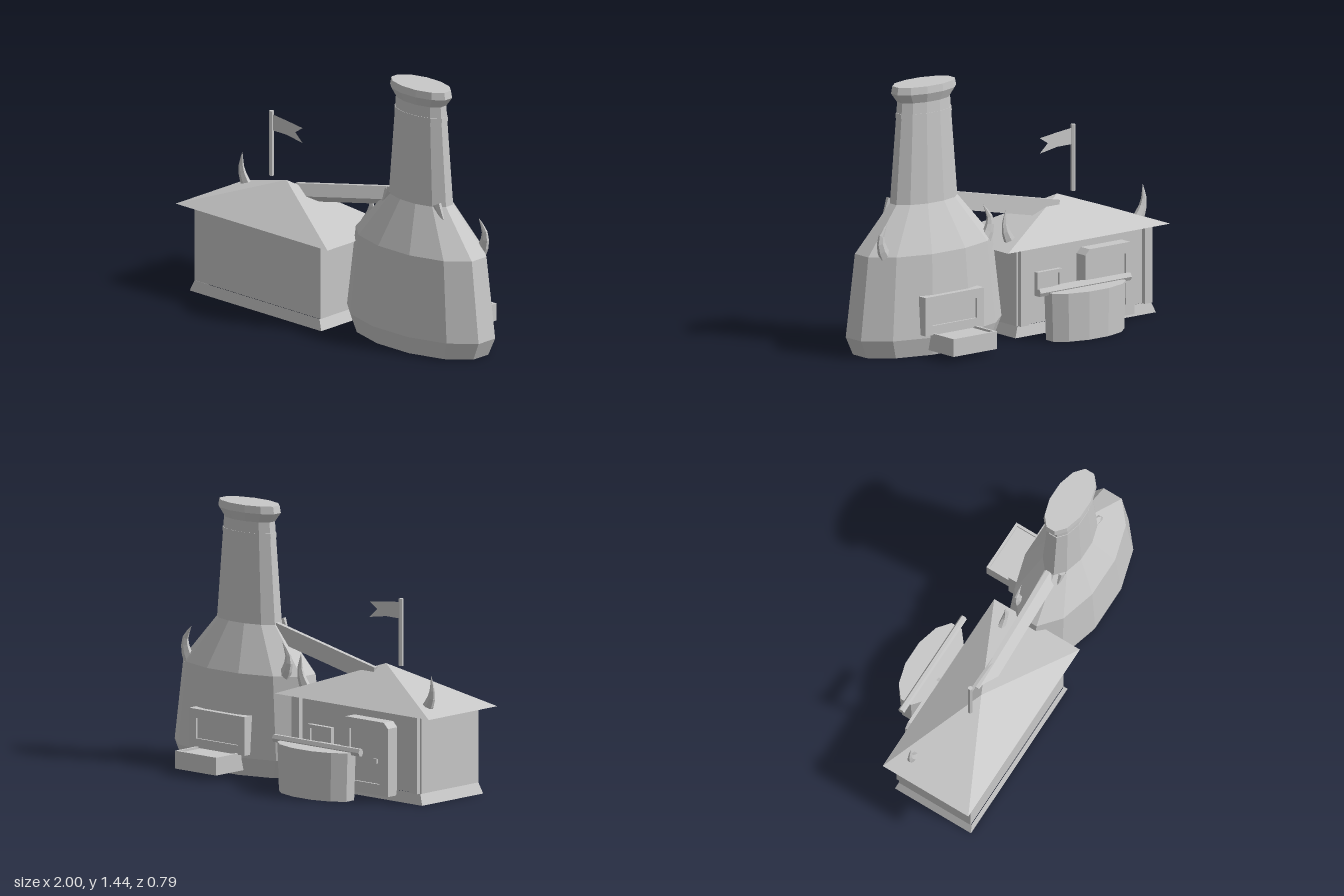
import * as THREE from 'three';

const grey = new THREE.MeshStandardMaterial({ color: 0xc8c8c8, flatShading: true, side: THREE.DoubleSide });
grey.name = 'plain grey';

export function createModel() {
  const model = new THREE.Group();
  const add = (name, geo, x = 0, y = 0, z = 0) => {
    const m = new THREE.Mesh(geo, grey);
    m.name = name;
    m.position.set(x, y, z);
    model.add(m);
    return m;
  };
  const outline = points => points.map(p => new THREE.Vector2(...p));
  // Box given by its limits on each axis
  const box = (name, x0, x1, y0, y1, z0, z1) =>
    add(name, new THREE.BoxGeometry(x1 - x0, y1 - y0, z1 - z0), (x0 + x1) / 2, (y0 + y1) / 2, (z0 + z1) / 2);
  // Twelve-sided oval body; profile holds [half width, y]
  const oval = (name, profile, flat, x, z) => {
    const pts = profile.map(([r, y]) => new THREE.Vector2(r / Math.cos(Math.PI / 12), y));
    const geo = new THREE.LatheGeometry(pts, 12, Math.PI / 12);
    geo.scale(1, 1, flat);
    return add(name, geo, x, 0, z);
  };
  // Rectangular ring standing on a back wall, with chamfered top corners
  const frame = (name, x0, x1, y0, y1, z0, z1, rim, c) => {
    const s = new THREE.Shape(outline(
      [[x0, y0], [x1, y0], [x1, y1 - c], [x1 - c, y1], [x0 + c, y1], [x0, y1 - c]]));
    s.holes.push(new THREE.Path(outline(
      [[x0 + rim, y0 + rim], [x0 + rim, y1 - rim], [x1 - rim, y1 - rim], [x1 - rim, y0 + rim]])));
    add(name, new THREE.ExtrudeGeometry(s, { depth: z1 - z0, bevelEnabled: false }), 0, 0, z0);
  };
  // Curved horn: a tube narrowed toward its tip
  const horn = (name, path, z, r) => {
    const curve = new THREE.CatmullRomCurve3(path.map(([x, y]) => new THREE.Vector3(x, y, 0)));
    const n = 5, sides = 6;
    const geo = new THREE.TubeGeometry(curve, n, r, sides, false);
    const pos = geo.attributes.position, v = new THREE.Vector3();
    for (let i = 0; i < pos.count; i++) {
      const t = Math.floor(i / (sides + 1)) / n, c = curve.getPointAt(t);
      v.fromBufferAttribute(pos, i).sub(c).multiplyScalar(1 - 0.98 * t ** 1.3);
      v.z *= 0.6;
      v.add(c);
      pos.setXYZ(i, v.x, v.y, v.z);
    }
    add(name, geo, 0, 0, z);
  };
  const hornPair = (name, path, centre, z, r) => {
    horn(name + 'A', path, z, r);
    horn(name + 'B', path.map(([x, y]) => [2 * centre - x, y]), z, r);
  };

  // Tower, open underneath
  oval('tower', [[0.44, 0], [0.485, 0.1], [0.428, 0.55], [0.21, 0.8], [0.165, 1.35],
    [0.203, 1.4], [0.195, 1.44], [0, 1.44]], 0.495, 0.515, 0.08);
  oval('neckBand', [[0.168, 1.265], [0.176, 1.265], [0.174, 1.29], [0.166, 1.29]], 0.495, 0.515, 0.08);
  hornPair('towerHorn', [[0.86, 0.55], [0.885, 0.6], [0.89, 0.66], [0.845, 0.735]], 0.515, -0.02, 0.038);
  hornPair('shoulderSpike', [[0.69, 0.815], [0.705, 0.785], [0.725, 0.75], [0.755, 0.705]], 0.515, 0.142, 0.03);

  // Hatch and tray at the back of the tower
  frame('hatchFrame', 0.31, 0.715, 0.12, 0.33, -0.18, -0.12, 0.05, 0);
  box('hatchPanel', 0.35, 0.675, 0.13, 0.29, -0.168, -0.11);
  box('trayFloor', 0.36, 0.66, 0.03, 0.115, -0.35, -0.13);
  box('trayBackRim', 0.36, 0.66, 0.115, 0.127, -0.35, -0.335);
  for (const x of [0.36, 0.645]) box('traySideRim', x, x + 0.015, 0.115, 0.127, -0.335, -0.14);

  // House body above a flared, hollow foot
  const cx = -0.44, cz = 0.12;
  box('houseWalls', cx - 0.465, cx + 0.465, 0.06, 0.48, cz - 0.225, cz + 0.225);
  const foot = new THREE.CylinderGeometry(0.95 * Math.SQRT1_2, Math.SQRT1_2, 0.06, 4, 1, true);
  foot.rotateY(Math.PI / 4).scale(0.97, 1, 0.48);
  add('houseFoot', foot, cx, 0.03, cz);

  // Pyramid roof
  const roof = new THREE.ConeGeometry(Math.SQRT1_2, 0.2, 4);
  roof.rotateY(Math.PI / 4).scale(1.12, 1, 0.54);
  add('roof', roof, cx, 0.58, cz);
  hornPair('roofHorn', [[-0.87, 0.5], [-0.9, 0.55], [-0.915, 0.6], [-0.908, 0.69]], -0.435, -0.03, 0.036);

  // Posts, door and window on the back wall
  for (const x of [-0.895, -0.04]) box('wallPost', x, x + 0.055, 0.06, 0.48, -0.13, -0.09);
  frame('doorFrame', -0.73, -0.39, 0.03, 0.43, -0.178, -0.1, 0.06, 0.03);
  box('door', -0.68, -0.44, 0.08, 0.38, -0.165, -0.1);
  box('doorKnob', -0.645, -0.62, 0.2, 0.225, -0.176, -0.15);
  frame('windowFrame', -0.27, -0.1, 0.21, 0.34, -0.13, -0.1, 0.02, 0);
  box('windowPane', -0.255, -0.115, 0.225, 0.325, -0.12, -0.1);

  // Oval tank with a carrying bar
  oval('tank', [[0.245, 0], [0.255, 0.265], [0, 0.265]], 0.47, -0.305, -0.28);
  const bar = new THREE.CylinderGeometry(0.023, 0.023, 0.63, 6);
  bar.rotateZ(Math.PI / 2).scale(1, 1, 0.8);
  add('tankBar', bar, -0.305, 0.27, -0.272);

  // Sloping chute from tower to roof, five-sided in section
  const section = new THREE.Shape(outline(
    [[-0.06, 0.045], [-0.06, -0.05], [-0.095, -0.05], [-0.13, -0.015], [-0.085, 0.045]]));
  const chuteGeo = new THREE.ExtrudeGeometry(section, { depth: 0.76, bevelEnabled: false });
  chuteGeo.translate(0, 0, -0.38).rotateY(Math.PI / 2);
  add('chute', chuteGeo, -0.03, 0.694, 0).rotation.z = 0.208;

  // Flagpole and swallow-tailed flag
  add('flagpole', new THREE.CylinderGeometry(0.013, 0.013, 0.365, 6), -0.55, 0.862, cz);
  const flag = new THREE.Shape(outline([[-0.54, 0.935], [-0.44, 0.935], [-0.32, 0.915], [-0.375, 0.965],
    [-0.32, 1.0], [-0.44, 1.015], [-0.54, 1.025]]));
  add('flag', new THREE.ShapeGeometry(flag), 0, 0, cz);

  return model;
}
